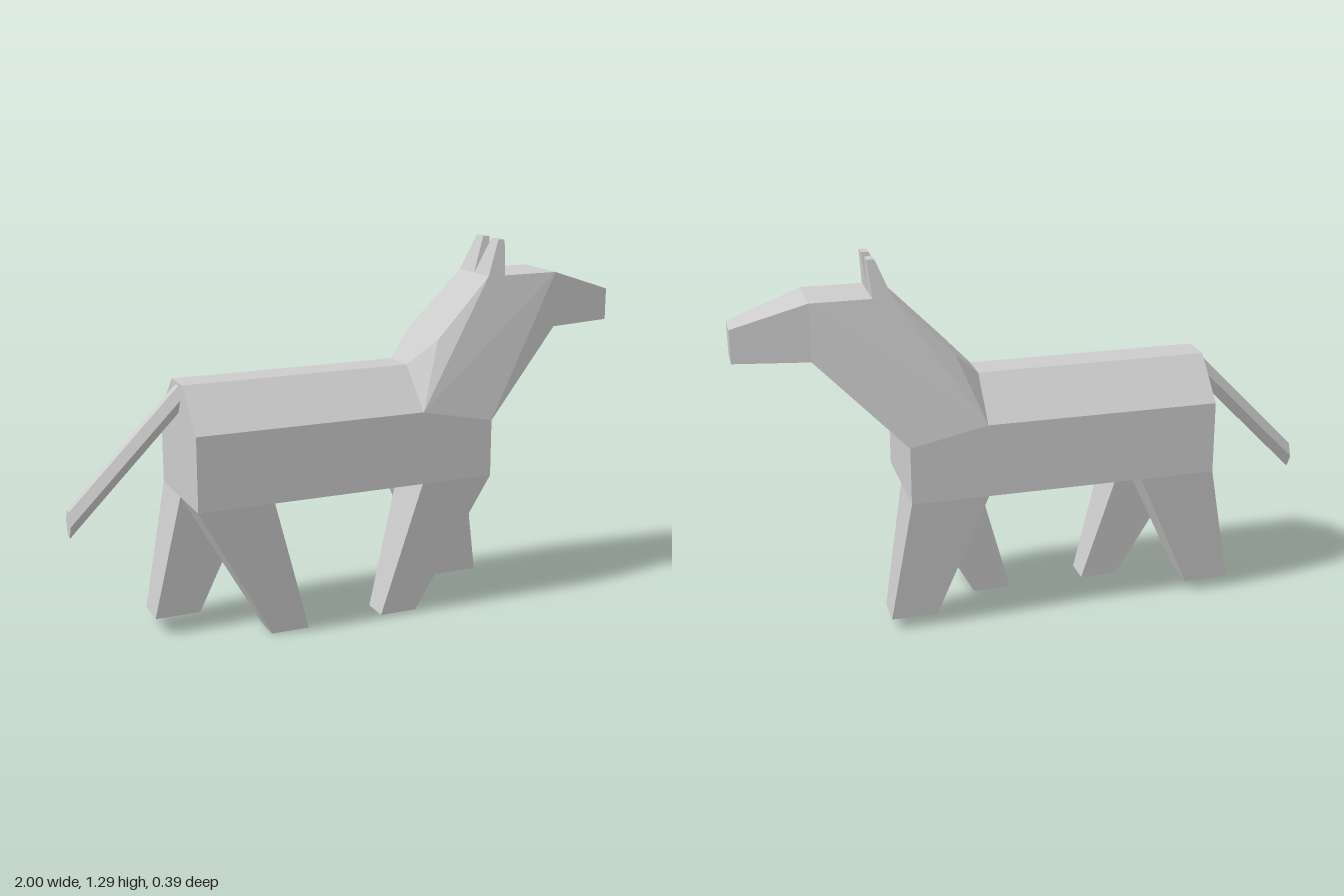
import * as THREE from 'three';
import { ConvexGeometry } from 'three/addons/geometries/ConvexGeometry.js';

const material = new THREE.MeshStandardMaterial({ color: 0xcccccc, flatShading: true });

// Faceted convex solid spanned by a few corner points.
function solid(name, points) {
  const geometry = new ConvexGeometry(points.map((p) => new THREE.Vector3(...p)));
  const mesh = new THREE.Mesh(geometry, material);
  mesh.name = name;
  return mesh;
}

// Each [x, y, z] gives a pair of corners mirrored across the body's centre plane.
const mirrored = (points) => points.flatMap(([x, y, z]) => [[x, y, z], [x, y, -z]]);

// Four corners of a level rectangle.
const rect = (x0, x1, y, z0, z1) => [[x0, y, z0], [x1, y, z0], [x1, y, z1], [x0, y, z1]];

export function createModel() {
  const horse = new THREE.Group();
  horse.name = 'horse';

  // Barrel of the body with a bevelled back
  horse.add(solid('body', mirrored([-0.62, 0.19].flatMap((x) => [
    [x, 0.48, 0.195], [x, 0.735, 0.195], [x, 0.875, 0.058],
  ]))));

  // Chest block above the front legs
  horse.add(solid('chest', mirrored([
    [0.19, 0.48, 0.195], [0.455, 0.48, 0.195],
    [0.455, 0.68, 0.195], [0.19, 0.735, 0.195],
  ])));

  // Neck rising from the shoulders, narrowing toward the head
  horse.add(solid('neck', mirrored([
    [0.19, 0.735, 0.195], [0.455, 0.68, 0.195], [0.19, 0.875, 0.058],
    [0.28, 0.965, 0.118], [0.48, 1.17, 0.105],
    [0.75, 1.17, 0.105], [0.75, 0.975, 0.105],
  ])));

  // Tapered muzzle
  horse.add(solid('head', mirrored([
    [0.75, 1.17, 0.105], [0.75, 0.975, 0.105],
    [1, 1.088, 0.055], [1, 0.975, 0.055],
  ])));

  // Ears
  for (const [name, s] of [['leftEar', 1], ['rightEar', -1]]) {
    horse.add(solid(name, [
      ...rect(0.48, 0.545, 1.17, 0, s * 0.105),
      ...rect(0.53, 0.555, 1.292, s * 0.03, s * 0.078),
    ]));
  }

  // Legs in mid stride: hip x range, foot x range, foot height, side, foot z range
  const legs = [
    ['rearLegNear', -0.62, -0.355, -0.355, -0.22, 0, 1, 0.05, 0.15],
    ['frontLegNear', 0.19, 0.455, 0.055, 0.19, 0, 1, 0.05, 0.15],
    ['rearLegFar', -0.62, -0.355, -0.71, -0.55, 0.04, -1, 0.04, 0.157],
    ['frontLegFar', 0.19, 0.455, 0.37, 0.53, 0.04, -1, 0.04, 0.157],
  ];
  for (const [name, h0, h1, f0, f1, y, s, z0, z1] of legs) {
    horse.add(solid(name, [
      ...rect(h0, h1, 0.48, 0, s * 0.195),
      ...rect(f0, f1, y, s * z0, s * z1),
    ]));
  }

  // Tail slanting down behind
  horse.add(solid('tail', mirrored([[-0.61, 0.875], [-1, 0.48]].flatMap(([x, y]) => [
    [x, y, 0.015], [x, y - 0.045, 0.035], [x, y - 0.092, 0.01],
  ]))));

  return horse;
}
